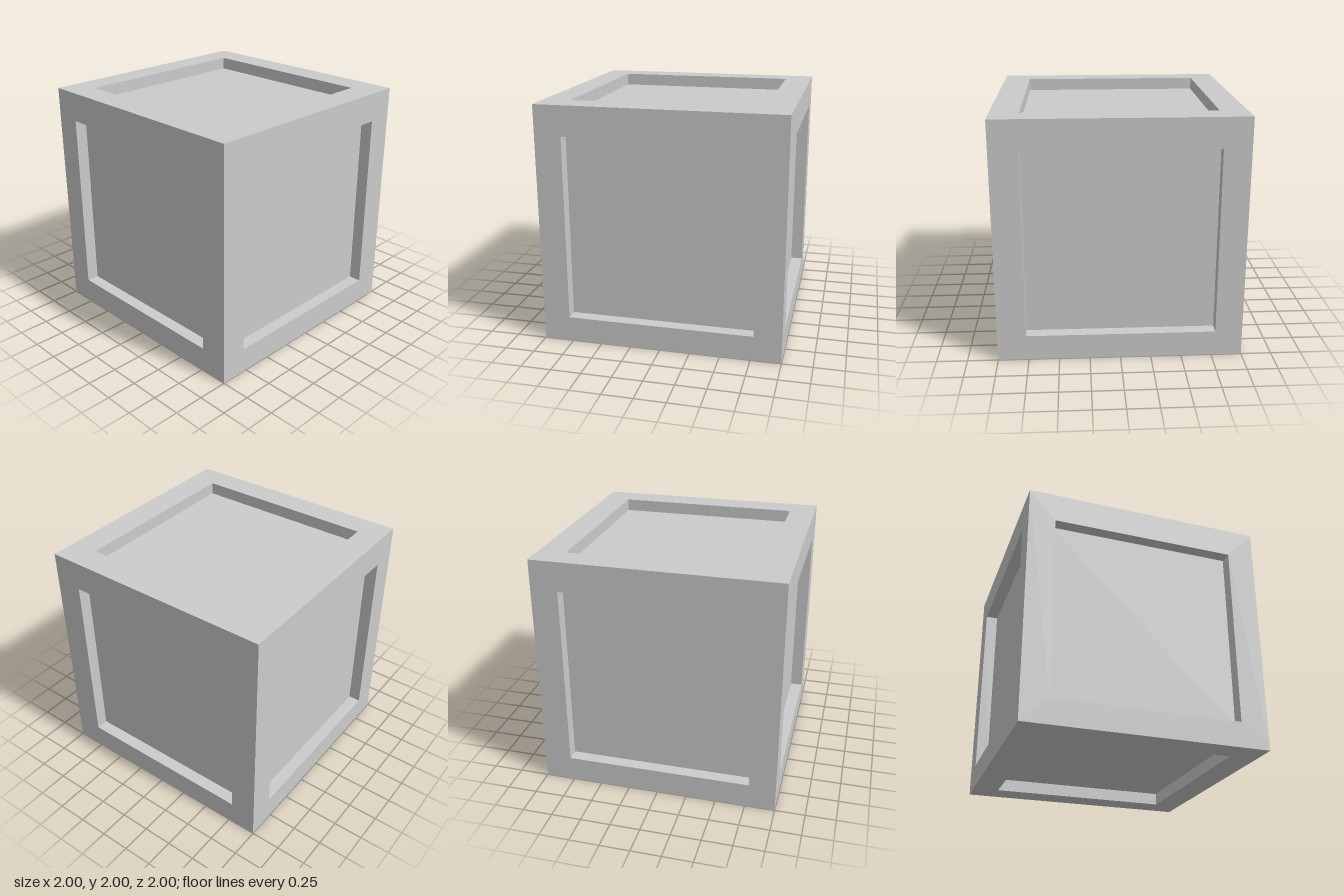
import * as THREE from 'three';

const HALF = 1;        // half the crate's side
const FLOOR = 0.896;   // distance of each recessed panel from the centre
// Extent of the openings along x, y, z, measured from the crate's centre
const LOW = [-0.778, -0.789, -0.779];
const HIGH = [0.773, 0.754, 0.767];

// Four corners of a rectangle facing along one axis, in order around its outward normal
function loop(axis, sign, distance, low, high) {
  const u = (axis + 1) % 3, v = (axis + 2) % 3;
  const corners = [[low, low], [high, low], [high, high], [low, high]].map(([a, b]) => {
    const p = [0, 0, 0];
    p[axis] = sign * distance;
    p[u] = a[u];
    p[v] = b[v];
    return p;
  });
  return sign > 0 ? corners : corners.reverse();
}

function quad(a, b, c, d) {
  return [a, b, c, a, c, d].flat();
}

// Quads joining an outer loop to the next loop inside it
function band(outer, inner) {
  return outer.flatMap((p, i) => {
    const j = (i + 1) % 4;
    return quad(p, outer[j], inner[j], inner[i]);
  });
}

function createModel() {
  const group = new THREE.Group();
  group.name = 'crate';
  const material = new THREE.MeshStandardMaterial({ color: 0xcccccc, flatShading: true });

  const addPart = (name, positions) => {
    const geometry = new THREE.BufferGeometry();
    geometry.setAttribute('position', new THREE.Float32BufferAttribute(positions, 3));
    geometry.computeVertexNormals();
    geometry.translate(0, HALF, 0);
    const mesh = new THREE.Mesh(geometry, material);
    mesh.name = name;
    group.add(mesh);
  };

  const min = [-HALF, -HALF, -HALF], max = [HALF, HALF, HALF];
  const frame = [];
  const sides = [['left', 'right'], ['top', 'bottom'], ['front', 'back']];
  sides.forEach((names, axis) => names.forEach((name, k) => {
    const sign = k === 0 ? 1 : -1;
    const edge = loop(axis, sign, HALF, min, max);
    const opening = loop(axis, sign, HALF, LOW, HIGH);
    const recess = loop(axis, sign, FLOOR, LOW, HIGH);
    // Flat border and the walls of the recess
    frame.push(...band(edge, opening), ...band(opening, recess));
    // Sunken panel
    addPart(name + 'Panel', quad(...recess));
  }));
  addPart('frame', frame);

  return group;
}

export { createModel };
